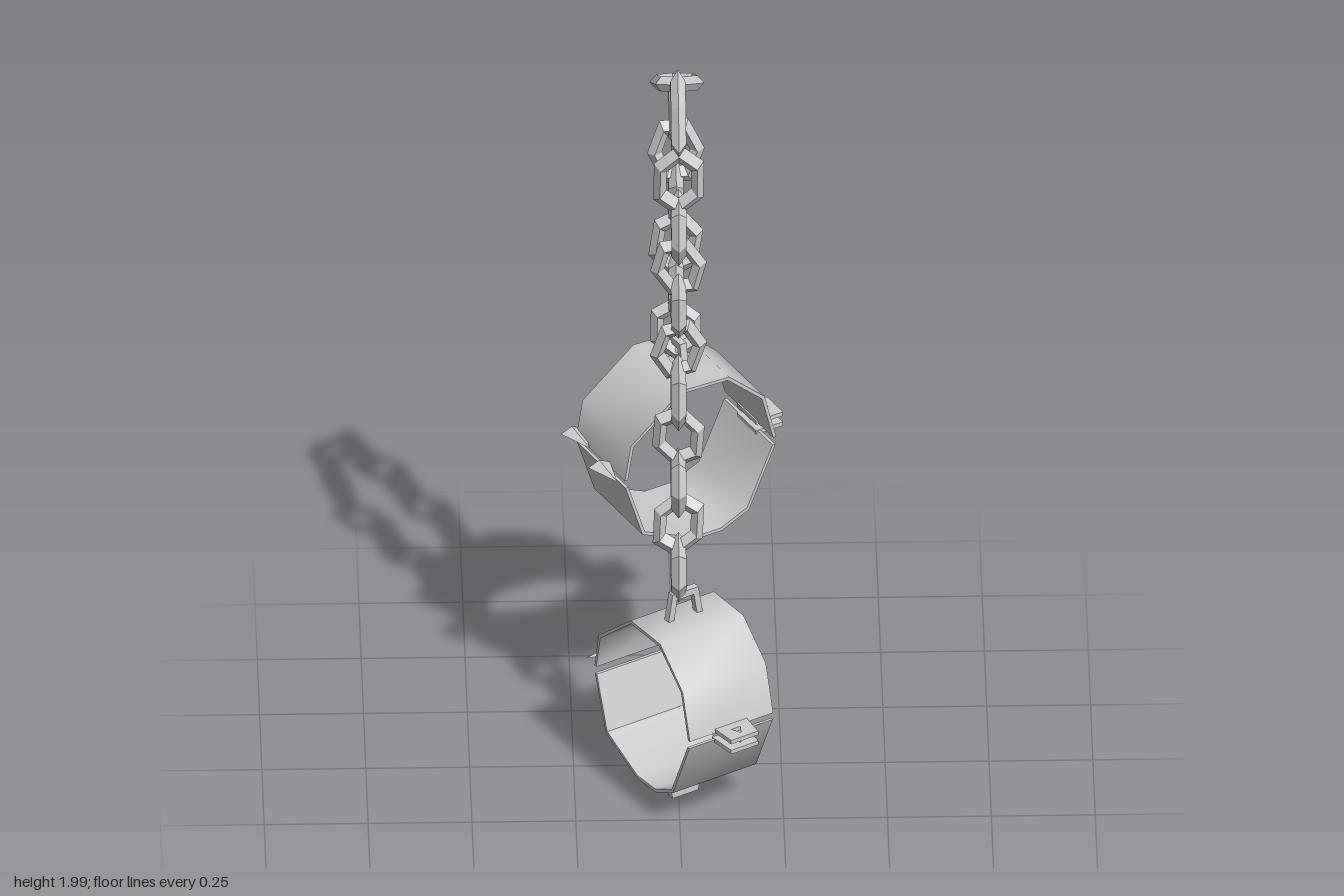
import * as THREE from 'three';
import { toCreasedNormals } from 'three/addons/utils/BufferGeometryUtils.js';

const smooth = new THREE.MeshStandardMaterial({ color: 0xcccccc, side: THREE.DoubleSide });
const flat = new THREE.MeshStandardMaterial({ color: 0xcccccc, flatShading: true, side: THREE.DoubleSide });

function add(parent, name, geometry, material = flat) {
  const mesh = new THREE.Mesh(geometry, material);
  mesh.name = name;
  parent.add(mesh);
  return mesh;
}

// Half of a cuff: a thin angular band swept along the cuff axis (z)
function cuffHalf(points) {
  const outer = points.map(([x, y]) => new THREE.Vector2(x, y));
  const inner = points.map(([x, y], i) =>
    new THREE.Vector2(x * 0.96, i === 0 || i === points.length - 1 ? y : y * 0.96)).reverse();
  const geo = new THREE.ExtrudeGeometry(new THREE.Shape([...outer, ...inner]),
    { depth: 0.24, bevelEnabled: false });
  geo.translate(0, 0, -0.12);
  return toCreasedNormals(geo, 0.85);
}

// Lock lug: a tapered plate with a small triangular hole
function lugPlate() {
  const shape = new THREE.Shape([[0.195, -0.047], [0.272, -0.036], [0.272, 0.042], [0.195, 0.047]]
    .map(p => new THREE.Vector2(...p)));
  shape.holes.push(new THREE.Path([[0.23, -0.012], [0.23, 0.014], [0.254, 0.002]]
    .map(p => new THREE.Vector2(...p))));
  const geo = new THREE.ExtrudeGeometry(shape, { depth: 0.011, bevelEnabled: false });
  geo.translate(0, 0, -0.0055);
  return geo.rotateX(Math.PI / 2);
}

// Staple: a square-bar trapezoid loop standing on the cuff
function staple() {
  const shape = new THREE.Shape([[-0.05, 0], [-0.037, 0.078], [0.037, 0.078], [0.05, 0],
    [0.034, 0], [0.024, 0.06], [-0.024, 0.06], [-0.034, 0]].map(p => new THREE.Vector2(...p)));
  const geo = new THREE.ExtrudeGeometry(shape, { depth: 0.018, bevelEnabled: false });
  geo.translate(0, 0, -0.009);
  return geo.rotateY(Math.PI / 2);
}

function buildCuff(name, x, y, z, angle) {
  const cuff = new THREE.Group();
  cuff.name = name;
  cuff.position.set(x, y, z);
  cuff.rotation.y = angle;
  add(cuff, 'upperHalf', cuffHalf([[0.21, 0.006], [0.178, 0.13], [0.08, 0.215],
    [-0.05, 0.215], [-0.19, 0.1], [-0.207, 0.006]]), smooth);
  add(cuff, 'lowerHalf', cuffHalf([[-0.205, -0.014], [-0.158, -0.16], [-0.02, -0.218],
    [0.06, -0.215], [0.135, -0.178], [0.208, -0.014]]), smooth);
  for (const s of [1, -1]) {
    add(cuff, s > 0 ? 'upperLug' : 'lowerLug', lugPlate()).position.y = s * 0.014 - 0.004;
    const loop = add(cuff, s > 0 ? 'topStaple' : 'bottomStaple', staple());
    loop.position.y = s * 0.21;
    if (s < 0) loop.rotation.z = Math.PI;
    // Hinge: flattened spikes lying along the axis
    const spike = new THREE.ConeGeometry(0.03, 0.09, 4).rotateX(Math.PI / 2).scale(1, 0.45, 1);
    add(cuff, 'hingeSpike', spike).position.set(s > 0 ? -0.232 : -0.215, 0.016, s * 0.083);
  }
  return cuff;
}

// Chain link: a coarse faceted ring, slightly skewed so neighbours differ
function buildLink(i, [y, z, height, tilt], wide) {
  const turn = 0.3 + 0.22 * Math.sin(i * 2.3);
  const geo = new THREE.TorusGeometry(0.055, 0.019, 4, 6);
  geo.rotateZ(turn);
  geo.scale(0.94, height / 0.144, 0.95);
  const pos = geo.attributes.position;
  for (let k = 0; k < pos.count; k++) {
    // lean the ring so its ends are slanted
    pos.setY(k, pos.getY(k) + 0.18 * Math.sin(i * 1.7) * pos.getX(k));
  }
  if (wide) geo.rotateY(Math.PI / 2);
  const link = new THREE.Mesh(geo, flat);
  link.name = 'chainLink' + (i + 1);
  link.position.set(0, y, z);
  link.rotation.x = tilt;
  return link;
}

export function createModel() {
  const model = new THREE.Group();
  model.name = 'shackles';
  model.add(buildCuff('lowerCuff', 0.012, 0.303, 0.126, -1.01));
  model.add(buildCuff('upperCuff', 0, 0.83, -0.178, 0.485));

  // Links from the lower cuff, over the top, down to the upper cuff: y, z, height, tilt
  const links = [
    [0.65, 0.12, 0.18, 0], [0.77, 0.113, 0.18, -0.05], [0.885, 0.113, 0.18, 0],
    [1.01, 0.1, 0.18, 0.06], [1.14, 0.112, 0.2, 0], [1.265, 0.112, 0.18, 0.06],
    [1.39, 0.118, 0.18, 0], [1.505, 0.122, 0.18, 0.08], [1.62, 0.13, 0.19, 0],
    [1.76, 0.14, 0.21, 0.08], [1.905, 0.08, 0.235, -0.89], [1.91, -0.065, 0.2, 1.08],
    [1.775, -0.16, 0.2, -0.05], [1.65, -0.172, 0.19, -0.08], [1.525, -0.177, 0.19, 0.1],
    [1.385, -0.18, 0.19, -0.05], [1.275, -0.182, 0.19, 0], [1.14, -0.183, 0.17, -0.06],
  ];
  const chain = new THREE.Group();
  chain.name = 'chain';
  links.forEach((l, i) => chain.add(buildLink(i, l, i % 2 === 0)));
  model.add(chain);
  return model;
}
